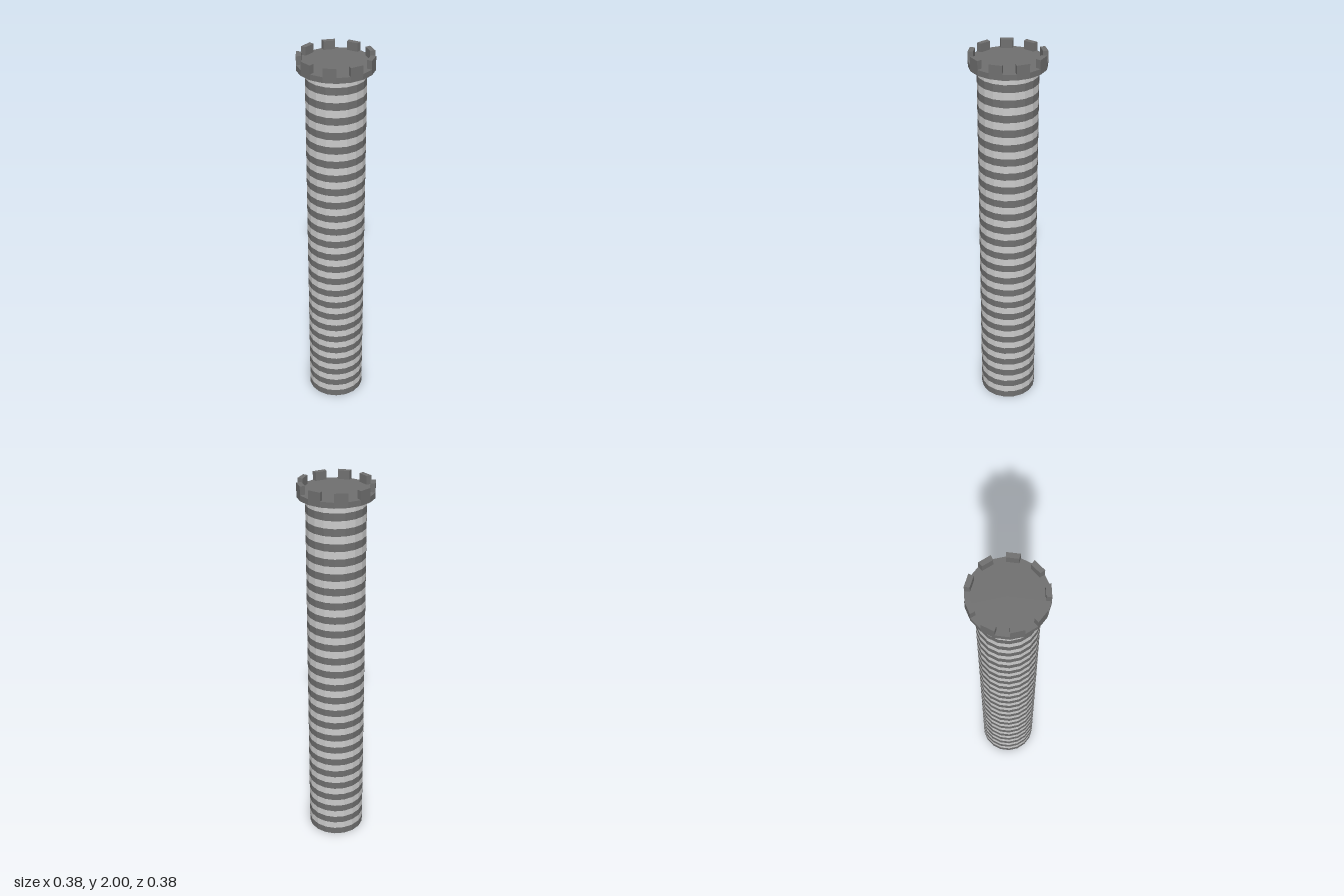
import * as THREE from 'three';
import { mergeGeometries } from 'three/addons/utils/BufferGeometryUtils.js';

const SIDES = 18;
const SHAFT_R = 0.15, SHAFT_TOP = 1.9286, BANDS = 50;
const CROWN_R = 0.191, CROWN_INNER = 0.165, FLOOR_Y = 1.957, TOP_Y = 2;

export function createModel() {
  const model = new THREE.Group();
  model.name = 'stripedTower';
  const light = new THREE.MeshStandardMaterial({ color: 0xcccccc, flatShading: true });
  const dark = new THREE.MeshStandardMaterial({ color: 0x6f6f6f, flatShading: true });

  const add = (name, geometry, material) => {
    const mesh = new THREE.Mesh(geometry, material);
    mesh.name = name;
    model.add(mesh);
  };

  // Shaft: alternating dark and light rings, dark at the foot
  const bandH = SHAFT_TOP / BANDS;
  const rings = [[], []];
  for (let i = 0; i < BANDS; i++) {
    const ring = new THREE.CylinderGeometry(SHAFT_R, SHAFT_R, bandH, SIDES, 1, true);
    rings[i % 2].push(ring.translate(0, (i + 0.5) * bandH, 0));
  }
  add('darkBands', mergeGeometries(rings[0]), dark);
  add('lightBands', mergeGeometries(rings[1]), light);

  // Underside of the shaft
  add('base', new THREE.CircleGeometry(SHAFT_R, SIDES, Math.PI / 2).rotateX(Math.PI / 2), dark);

  // Platform on top
  const platform = new THREE.CylinderGeometry(CROWN_R, CROWN_R, FLOOR_Y - SHAFT_TOP, SIDES);
  add('platform', platform.translate(0, (FLOOR_Y + SHAFT_TOP) / 2, 0), dark);

  // Battlements: a block on every other side of the platform
  const step = (2 * Math.PI) / SIDES;
  const corner = (r, a) => new THREE.Vector2(r * Math.sin(a), -r * Math.cos(a));
  for (let k = 1; k < SIDES; k += 2) {
    const a = k * step, b = a + step;
    const shape = new THREE.Shape([
      corner(CROWN_INNER, a), corner(CROWN_R, a), corner(CROWN_R, b), corner(CROWN_INNER, b),
    ]);
    const block = new THREE.ExtrudeGeometry(shape, { depth: TOP_Y - FLOOR_Y, bevelEnabled: false });
    add('battlement', block.rotateX(-Math.PI / 2).translate(0, FLOOR_Y, 0), dark);
  }
  return model;
}
